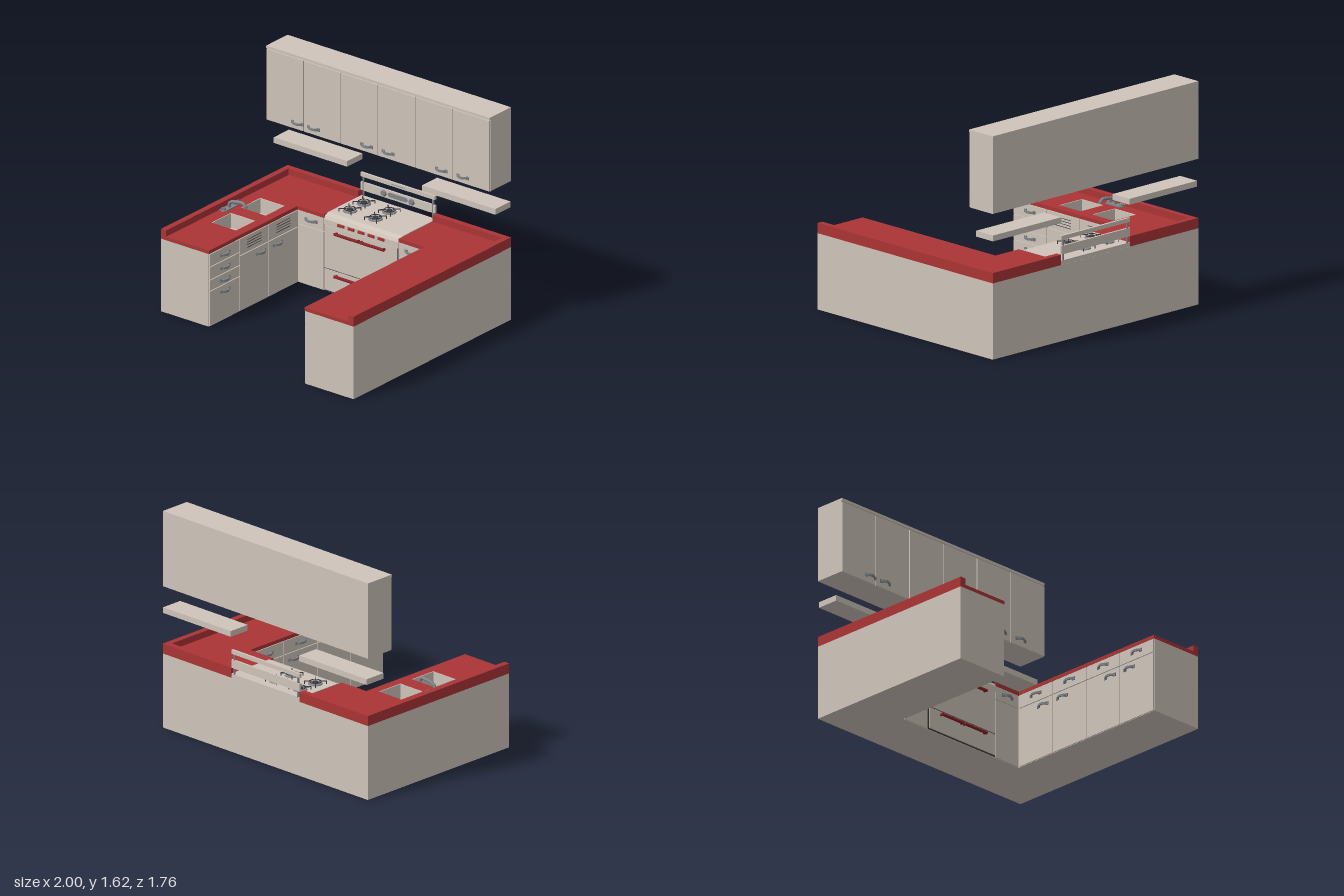
import * as THREE from 'three';

const mat = (name, color) => {
  const m = new THREE.MeshStandardMaterial({ color });
  m.name = name;
  return m;
};

export function createModel() {
  const root = new THREE.Group();
  root.name = 'kitchen';
  const beige = mat('beige', 0xcfc4ba);
  const red = mat('red', 0xab3435);
  const gray = mat('metal gray', 0x82868a);
  const dark = mat('dark gray', 0x3c3c3e);
  const maroon = mat('handle red', 0x8c2228);

  const add = (parent, name, geo, material, x = 0, y = 0, z = 0) => {
    const m = new THREE.Mesh(geo, material);
    m.name = name;
    m.position.set(x, y, z);
    parent.add(m);
    return m;
  };
  // Box given by its limits on each axis
  const box = (parent, name, material, x0, x1, y0, y1, z0, z1) =>
    add(parent, name, new THREE.BoxGeometry(x1 - x0, y1 - y0, z1 - z0), material,
      (x0 + x1) / 2, (y0 + y1) / 2, (z0 + z1) / 2);
  // Floor plan outline of [x, z] points raised from y0 to y1
  const plan = (name, material, pts, y0, y1, holes = []) => {
    const toV = ([x, z]) => new THREE.Vector2(x, -z);
    const s = new THREE.Shape(pts.map(toV));
    holes.forEach(h => s.holes.push(new THREE.Path(h.map(toV))));
    const g = new THREE.ExtrudeGeometry(s, { depth: y1 - y0, bevelEnabled: false });
    g.rotateX(-Math.PI / 2);
    return add(root, name, g, material, 0, y0, 0);
  };

  // Base cabinets, with the sink basins cut into the upper layer
  const basins = [[-0.4, -0.185], [-0.07, 0.145]];
  const holes = basins.map(([a, b]) => [[-0.86, a], [-0.64, a], [-0.64, b], [-0.86, b]]);
  const carcass = [[-1, -0.88], [1, -0.88], [1, 0.88], [0.568, 0.88], [0.568, -0.465],
    [-0.575, -0.465], [-0.575, 0.535], [-1, 0.535]];
  plan('baseCabinetLower', beige, carcass, 0, 0.47);
  plan('baseCabinetUpper', beige, carcass, 0.47, 0.555, holes);

  // Countertops and raised rims on the wall sides
  plan('counterRight', red, [[-1, -0.88], [-0.335, -0.88], [-0.335, -0.455], [-0.57, -0.455],
    [-0.57, 0.535], [-1, 0.535]], 0.555, 0.582, holes);
  plan('counterLeft', red, [[0.335, -0.88], [1, -0.88], [1, 0.88], [0.562, 0.88],
    [0.562, -0.455], [0.335, -0.455]], 0.555, 0.582);
  plan('rimRight', red, [[-1, -0.88], [-0.335, -0.88], [-0.335, -0.835], [-0.955, -0.835],
    [-0.955, 0.535], [-1, 0.535]], 0.582, 0.63);
  plan('rimLeft', red, [[0.335, -0.88], [1, -0.88], [1, 0.88], [0.955, 0.88],
    [0.955, -0.835], [0.335, -0.835]], 0.582, 0.63);

  // Basin linings and drains
  basins.forEach(([a, b]) => {
    const z = (a + b) / 2;
    box(root, 'basinLining', beige, -0.86, -0.857, 0.47, 0.58, a, b);
    box(root, 'basinLining', beige, -0.643, -0.64, 0.47, 0.58, a, b);
    box(root, 'basinLining', beige, -0.86, -0.64, 0.47, 0.58, a, a + 0.003);
    box(root, 'basinLining', beige, -0.86, -0.64, 0.47, 0.58, b - 0.003, b);
    add(root, 'drain', new THREE.CylinderGeometry(0.016, 0.016, 0.006, 20), gray, -0.75, 0.473, z);
  });

  // Faucet
  const faucet = new THREE.Group();
  faucet.name = 'faucet';
  faucet.position.set(-0.92, 0.582, -0.127);
  root.add(faucet);
  box(faucet, 'faucetPlate', gray, -0.025, 0.025, 0, 0.01, -0.07, 0.07);
  const spout = new THREE.CatmullRomCurve3([[0, 0, 0], [0.003, 0.038, 0], [0.025, 0.056, 0],
    [0.08, 0.066, 0], [0.125, 0.068, 0], [0.145, 0.05, 0]].map(p => new THREE.Vector3(...p)));
  add(faucet, 'spout', new THREE.TubeGeometry(spout, 24, 0.012, 10), gray);
  add(faucet, 'spoutTip', new THREE.CylinderGeometry(0.013, 0.014, 0.016, 12), gray, 0.145, 0.048, 0);
  for (const s of [-1, 1]) {
    add(faucet, 'tap', new THREE.CylinderGeometry(0.014, 0.02, 0.025, 14), gray, 0, 0.012, s * 0.062);
    const lever = add(faucet, 'tapLever', new THREE.CylinderGeometry(0.006, 0.006, 0.05, 8), gray,
      0, 0.024, s * 0.08);
    lever.rotation.x = Math.PI / 2;
  }

  // Bowed cabinet handle, seen from above as a curved band
  const bow = new THREE.Shape();
  bow.moveTo(-0.053, 0);
  bow.quadraticCurveTo(0, -0.062, 0.053, 0);
  bow.lineTo(0.038, 0);
  bow.quadraticCurveTo(0, -0.042, -0.038, 0);
  const bowGeo = new THREE.ExtrudeGeometry(bow, { depth: 0.016, bevelEnabled: false, curveSegments: 10 });
  bowGeo.rotateX(-Math.PI / 2).translate(0, -0.008, 0);
  const handle = (g, x, y, z) => {
    add(g, 'handle', bowGeo, gray, x, y, z);
    for (const s of [-1, 1])
      box(g, 'handleFoot', gray, x + s * 0.043 - 0.012, x + s * 0.043 + 0.012, y - 0.012, y + 0.012, z, z + 0.007);
  };
  // A row of fronts: local x runs along the row, local z points out
  const row = (name, x, z, turn) => {
    const g = new THREE.Group();
    g.name = name;
    g.position.set(x, 0, z);
    g.rotation.y = turn;
    root.add(g);
    return g;
  };
  const front = (g, name, x0, x1, y0, y1, depth = 0.008) =>
    box(g, name, beige, x0 + 0.003, x1 - 0.003, y0 + 0.003, y1 - 0.003, 0, depth);

  // Sink wing: four drawers, two doors and their vent panels
  const sinkRow = row('sinkWingFronts', -0.575, 0, Math.PI / 2);
  [0.555, 0.455, 0.355, 0.27, 0].forEach((top, i, a) => {
    if (i < 4) front(sinkRow, 'drawer', -0.532, -0.195, a[i + 1], top);
  });
  [0.505, 0.405, 0.31, 0.225].forEach(y => handle(sinkRow, -0.365, y, 0.008));
  for (const [x0, x1, h] of [[-0.195, 0.13, 0.035], [0.13, 0.455, 0.225]]) {
    front(sinkRow, 'door', x0, x1, 0, 0.425);
    front(sinkRow, 'ventPanel', x0, x1, 0.425, 0.555);
    handle(sinkRow, h, 0.378, 0.008);
    const c = (x0 + x1) / 2;
    for (let i = 0; i < 4; i++)
      box(sinkRow, 'ventSlot', dark, c - 0.08, c + 0.08, 0.46 + i * 0.02, 0.464 + i * 0.02, 0.007, 0.0095);
  }

  // Long wing: four drawers over two pairs of doors
  const longRow = row('longWingFronts', 0.568, 0, -Math.PI / 2);
  const step = 1.33 / 4;
  for (let i = 0; i < 4; i++) {
    const x0 = -0.452 + i * step, x1 = x0 + step;
    front(longRow, 'drawer', x0, x1, 0.45, 0.555);
    front(longRow, 'door', x0, x1, 0, 0.45);
    handle(longRow, (x0 + x1) / 2, 0.505, 0.008);
    handle(longRow, i % 2 ? x0 + 0.095 : x1 - 0.095, 0.4, 0.008);
  }

  // Narrow cabinets beside the stove
  const backRow = row('backFronts', 0, -0.465, 0);
  for (const [x0, x1] of [[-0.565, -0.335], [0.335, 0.558]]) {
    front(backRow, 'drawer', x0, x1, 0.45, 0.555);
    front(backRow, 'door', x0, x1, 0, 0.45);
    handle(backRow, (x0 + x1) / 2, 0.505, 0.008);
  }

  // Wall cabinets
  box(root, 'wallCabinet', beige, -1, 1, 1.06, 1.625, -0.88, -0.652);
  box(root, 'wallCabinetTopLip', beige, -1, 1, 1.605, 1.625, -0.652, -0.64);
  const wallRow = row('wallFronts', 0, -0.652, 0);
  [-0.72, -0.575, -0.1, 0.093, 0.57, 0.762].forEach((h, i) => {
    const x0 = -1 + i / 3;
    front(wallRow, 'wallDoor', x0, x0 + 1 / 3, 1.058, 1.602, 0.011);
    handle(wallRow, h, 1.11, 0.01);
  });

  // Wall shelves
  box(root, 'shelfRight', beige, -0.988, -0.33, 0.86, 0.903, -0.88, -0.71);
  box(root, 'shelfLeft', beige, 0.338, 0.997, 0.86, 0.903, -0.88, -0.71);

  // Stove body, a side profile with a sloping front edge
  const side = new THREE.Shape([[0.879, 0.002], [0.461, 0.002], [0.461, 0.5], [0.456, 0.505],
    [0.456, 0.55], [0.468, 0.572], [0.5, 0.586], [0.879, 0.586]]
    .map(([x, y]) => new THREE.Vector2(x, y)));
  const body = new THREE.ExtrudeGeometry(side, { depth: 0.668, bevelEnabled: false });
  body.rotateY(Math.PI / 2);
  add(root, 'stoveBody', body, beige, -0.334, 0, 0);
  box(root, 'ovenGap', dark, -0.333, 0.33, 0.004, 0.505, -0.462, -0.458);
  box(root, 'ovenDoor', beige, -0.325, 0.322, 0.182, 0.505, -0.46, -0.452);
  box(root, 'ovenDrawer', beige, -0.325, 0.322, 0.014, 0.174, -0.46, -0.452);
  for (let i = -2; i <= 2; i++)
    box(root, 'stoveKnob', red, i * 0.09 - 0.028, i * 0.09 + 0.028, 0.526, 0.545, -0.458, -0.446);
  for (const y of [0.47, 0.145]) for (const x of [-0.115, 0.112]) {
    const bar = add(root, 'ovenHandle', new THREE.CylinderGeometry(0.011, 0.011, 0.217, 12), maroon, x, y, -0.431);
    bar.rotation.z = Math.PI / 2;
    for (const s of [-1, 1])
      box(root, 'ovenHandlePost', maroon, x + s * 0.1 - 0.007, x + s * 0.1 + 0.007, y - 0.007, y + 0.007, -0.455, -0.431);
  }

  // Burners with four-legged grates
  for (const x of [-0.225, 0.003]) for (const z of [-0.61, -0.765]) {
    const b = new THREE.Group();
    b.name = 'burner';
    b.position.set(x, 0.586, z);
    root.add(b);
    add(b, 'burnerDish', new THREE.CylinderGeometry(0.048, 0.052, 0.008, 24), gray, 0, 0.004, 0);
    add(b, 'burnerCap', new THREE.CylinderGeometry(0.02, 0.024, 0.012, 16), dark, 0, 0.012, 0);
    const ring = add(b, 'grateRing', new THREE.TorusGeometry(0.042, 0.003, 6, 24), dark, 0, 0.018, 0);
    ring.rotation.x = Math.PI / 2;
    for (let i = 0; i < 4; i++) {
      const leg = new THREE.Group();
      leg.name = 'grateLeg';
      leg.rotation.y = Math.PI / 4 + i * Math.PI / 2;
      b.add(leg);
      box(leg, 'grateArm', dark, 0.025, 0.08, 0.018, 0.024, -0.003, 0.003);
      box(leg, 'grateFoot', dark, 0.074, 0.08, 0, 0.02, -0.003, 0.003);
    }
  }

  // Stove back panel, posts and top rail
  box(root, 'controlPanel', beige, -0.335, 0.332, 0.63, 0.692, -0.88, -0.865);
  box(root, 'topRail', beige, -0.335, 0.332, 0.735, 0.765, -0.88, -0.862);
  box(root, 'railMark', gray, -0.06, 0.06, 0.748, 0.752, -0.863, -0.86);
  for (const x of [-0.313, 0.31])
    add(root, 'railPost', new THREE.CylinderGeometry(0.008, 0.008, 0.16, 10), gray, x, 0.66, -0.872);
  for (const x of [-0.127, 0.123]) {
    const dial = add(root, 'dial', new THREE.CylinderGeometry(0.02, 0.025, 0.014, 20), gray, x, 0.662, -0.859);
    dial.rotation.x = Math.PI / 2;
  }
  const pill = new THREE.Shape();
  pill.absarc(0.068, 0, 0.017, -Math.PI / 2, Math.PI / 2);
  pill.absarc(-0.072, 0, 0.017, Math.PI / 2, Math.PI * 1.5);
  add(root, 'display', new THREE.ExtrudeGeometry(pill, { depth: 0.004, bevelEnabled: false }), gray, 0, 0.662, -0.866);

  return root;
}
